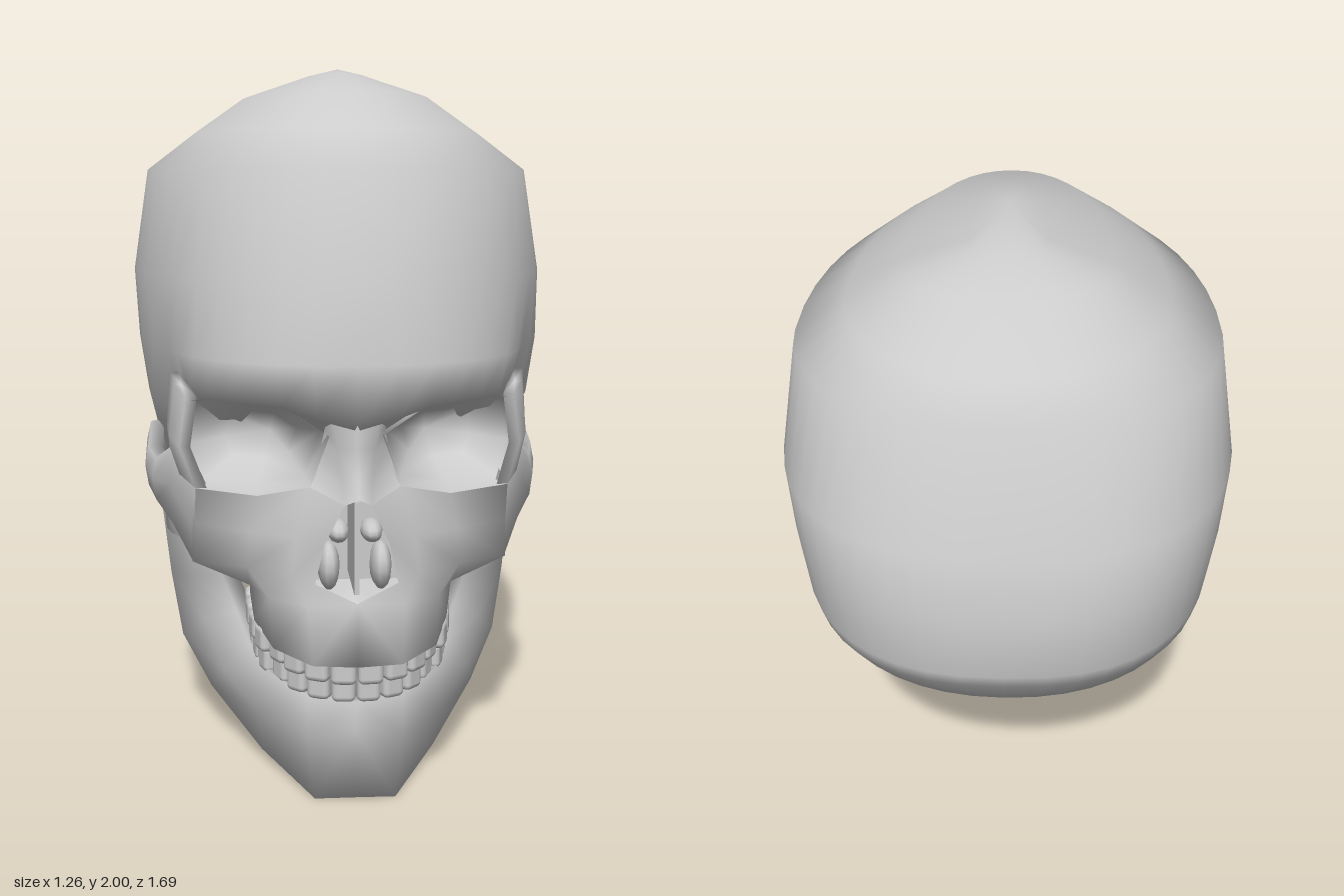
import * as THREE from 'three';
import { mergeGeometries, mergeVertices } from 'three/addons/utils/BufferGeometryUtils.js';
import { RoundedBoxGeometry } from 'three/addons/geometries/RoundedBoxGeometry.js';

const bone = new THREE.MeshStandardMaterial({ color: 0xcccccc, side: THREE.DoubleSide });

// Surface through rows of points; 'closed' joins the last column to the first
function surface(rows, closed = false) {
  const n = rows[0].length, index = [];
  for (let r = 0; r < rows.length - 1; r++) {
    for (let c = 0; c < (closed ? n : n - 1); c++) {
      const a = r * n + c, b = r * n + (c + 1) % n;
      index.push(a, b, a + n, b, b + n, a + n);
    }
  }
  const g = new THREE.BufferGeometry();
  g.setAttribute('position', new THREE.Float32BufferAttribute(rows.flat(2), 3));
  g.setIndex(index);
  return smooth(g);
}

function smooth(g) {
  g.deleteAttribute('normal');
  const m = mergeVertices(g, 1e-4);
  m.computeVertexNormals();
  return m;
}

// Adds the mirror image in x and welds the seam
function mirrored(g) {
  const m = g.clone().scale(-1, 1, 1);
  const i = m.index.array;
  for (let k = 0; k < i.length; k += 3) [i[k], i[k + 1]] = [i[k + 1], i[k]];
  return smooth(mergeGeometries([g, m]));
}

// Bony plate: stations of [lower edge, upper edge], thickened inward along each direction
function plate(stations, thickness, dirs) {
  const rows = stations.map(([a, b], k) => {
    const [dx, dz] = dirs[Math.min(k, dirs.length - 1)];
    const inner = (p) => [p[0] - dx * thickness, p[1], p[2] - dz * thickness];
    const mid = a.map((v, j) => (v + b[j]) / 2);
    mid[0] += dx * 0.01;
    mid[2] += dz * 0.01;
    return [a, mid, b, inner(b), inner(a)];
  });
  const cap = (row) => row.map(() => [0, 1, 2].map((j) => row.reduce((s, p) => s + p[j], 0) / row.length));
  return surface([cap(rows[0]), ...rows, cap(rows[rows.length - 1])], true);
}

// Underside of the braincase: raised over the eyes and throat, lowest behind the ears
function skullFloor(x, z) {
  const browDip = 0.08 * Math.exp(-((x / 0.11) ** 2));
  const knots = [[-0.16, 0.6], [0, 0.82], [0.3, 0.86], [0.43, 1.09 - browDip], [1, 1.09 - browDip]];
  if (z <= knots[0][0]) return 0;
  const k = knots.findIndex((p) => z <= p[0]);
  const [z0, y0] = knots[k - 1], [z1, y1] = knots[k];
  return y0 + (y1 - y0) * (z - z0) / (z1 - z0);
}

function braincase() {
  // height, half width, front z, back z
  const rings = [
    [2.0, 0, 0, 0], [1.98, 0.1, 0.14, -0.27], [1.915, 0.29, 0.4, -0.41], [1.81, 0.44, 0.55, -0.61],
    [1.70, 0.585, 0.67, -0.665], [1.4, 0.63, 0.745, -0.81], [1.2, 0.615, 0.8, -0.825],
    [1.03, 0.59, 0.79, -0.84], [0.94, 0.575, 0.45, -0.78], [0.82, 0.55, 0.3, -0.7],
    [0.69, 0.46, 0.1, -0.5], [0.635, 0.38, 0, -0.32], [0.6, 0.28, -0.1, -0.2], [0.6, 0, -0.16, -0.16],
  ];
  const cols = 44;
  const power = (v, e) => Math.sign(v) * Math.abs(v) ** e;
  return surface(rings.map(([h, w, zf, zb]) => Array.from({ length: cols }, (_, c) => {
    const a = c / cols * Math.PI * 2, co = Math.cos(a);
    const zc = Math.min(Math.max(-0.18, zb), zf);
    const n = co > 0 ? (h < 1.3 ? 2.3 : 2.1) : (h > 0.9 && h < 1.5 ? 2.45 : 2.15);
    const z = zc + power(co, 2 / n) * (co > 0 ? zf - zc : zc - zb);
    const x = w * power(Math.sin(a), 2 / n);
    const y = Math.max(h, skullFloor(x, z));
    // hollow temples
    const pinch = 0.09 * Math.exp(-(((z - 0.38) / 0.13) ** 2) - ((y - 1.02) / 0.24) ** 2);
    return [x * (1 - pinch), y, z];
  })), true);
}

function upperJaw() {
  // palate, inner gum, outer gum, then up the face to the lower eye rim
  return mirrored(surface([
    [[0, .54, .7], [0, .55, .68], [0, .55, .62], [0, .56, .52], [0, .56, .42], [0, .56, .36]],
    [[0, .43, .74], [.09, .43, .73], [.16, .44, .66], [.2, .47, .54], [.21, .5, .42], [.2, .51, .36]],
    [[0, .41, .84], [.12, .41, .82], [.22, .43, .73], [.27, .46, .57], [.28, .5, .44], [.26, .51, .36]],
    [[0, .57, .8], [.13, .56, .78], [.23, .56, .7], [.28, .56, .57], [.28, .57, .44], [.25, .59, .37]],
    [[.11, .62, .78], [.17, .63, .75], [.29, .64, .67], [.44, .62, .53], [.34, .67, .45], [.25, .68, .41]],
    [[.085, .73, .785], [.16, .74, .755], [.28, .74, .69], [.43, .74, .58], [.4, .78, .46], [.26, .78, .4]],
    [[.035, .84, .82], [.12, .87, .73], [.26, .84, .69], [.425, .85, .63], [.42, .87, .48], [.28, .87, .38]],
  ]));
}

function eyeSockets() {
  const rim = [[.07, 1.01, .75], [.2, 1.09, .72], [.34, 1.1, .66], [.45, 1.08, .57],
    [.47, .95, .55], [.425, .85, .63], [.26, .84, .69], [.12, .87, .73]];
  const back = [0.22, 0.97, 0.42];
  const depth = [0, 0.35, 0.75, 1], size = [1, 0.88, 0.5, 0];
  return mirrored(surface(depth.map((d, k) => rim.map(([x, y, z]) => [
    back[0] + (x - back[0]) * size[k], back[1] + (y - back[1]) * size[k], z + (back[2] - z) * d,
  ])), true));
}

function noseBridge() {
  return mirrored(surface([
    [[0, 1.06, .79], [.06, 1.05, .77], [.08, 1.03, .72]],
    [[0, .98, .795], [.05, .98, .76], [.09, .97, .69]],
    [[0, .91, .82], [.04, .9, .79], [.1, .91, .71]],
    [[0, .86, .85], [.035, .84, .82], [.12, .87, .73]],
  ]));
}

function teeth(name, halfWidth, front, gumY) {
  const group = new THREE.Group();
  group.name = name;
  const points = [];
  for (let k = -12; k <= 12; k++) {
    const a = k / 12 * Math.PI / 2;
    points.push(new THREE.Vector3(
      halfWidth * Math.sign(a) * Math.abs(Math.sin(a)) ** 0.85, 0, 0.36 + (front - 0.36) * Math.cos(a) ** 0.85));
  }
  const arch = new THREE.CatmullRomCurve3(points);
  const count = 16, width = arch.getLength() / count;
  for (let k = 0; k < count; k++) {
    const u = (k + 0.5) / count, p = arch.getPointAt(u), t = arch.getTangentAt(u);
    const molar = Math.abs(u - 0.5) > 0.25;
    const tooth = new THREE.Mesh(new RoundedBoxGeometry(width * 0.97, 0.072, molar ? 0.08 : 0.05, 2, 0.016), bone);
    tooth.name = 'tooth';
    tooth.position.set(p.x, gumY + (front - p.z) * 0.2, p.z);
    tooth.rotation.y = Math.atan2(-t.z, t.x);
    group.add(tooth);
  }
  return group;
}

export function createModel() {
  const skull = new THREE.Group();
  skull.name = 'skull';
  const add = (name, geometry, x = 0, y = 0, z = 0) => {
    const mesh = new THREE.Mesh(geometry, bone);
    mesh.name = name;
    mesh.position.set(x, y, z);
    skull.add(mesh);
    return mesh;
  };

  add('braincase', braincase());
  add('upperJaw', upperJaw());
  add('eyeSockets', eyeSockets());
  add('noseBridge', noseBridge());

  // Wall from the back of the palate up to the skull base
  add('throatWall', mirrored(surface([
    [[0, .56, .36], [.2, .54, .36], [.25, .59, .37]], [[0, .68, .36], [.2, .68, .37], [.25, .68, .41]],
    [[0, .8, .28], [.2, .8, .3], [.28, .87, .38]], [[0, .88, .14], [.24, .88, .14], [.4, .9, .2]],
  ])));

  // Cheekbones running back into the arches, and the struts beside the eyes
  add('cheekArches', mirrored(plate([
    [[.44, .62, .52], [.425, .85, .63]], [[.5, .7, .4], [.49, .94, .47]],
    [[.55, .75, .32], [.55, .87, .3]], [[.58, .765, .18], [.58, .88, .17]],
    [[.585, .82, .01], [.58, .93, .02]], [[.545, .86, -.2], [.555, .9, -.2]],
  ], 0.04, [[.8, .5], [.9, .3], [1, 0]])));
  add('eyeStruts', mirrored(plate([
    [[.425, .85, .63], [.5, .88, .4]], [[.47, .95, .56], [.51, .99, .43]], [[.45, 1.09, .57], [.5, 1.14, .43]],
  ], 0.03, [[1, 0]])));

  // Nose interior
  add('nasalSeptum', new THREE.BoxGeometry(0.014, 0.25, 0.25), 0, 0.715, 0.66);
  add('nasalBackWall', new THREE.BoxGeometry(0.3, 0.36, 0.02), 0, 0.74, 0.52);
  for (const s of [-1, 1]) {
    add('lowerTurbinate', new THREE.SphereGeometry(1, 10, 8), s * 0.07, 0.65, 0.7)
      .scale.set(0.03, 0.065, 0.08);
    add('upperTurbinate', new THREE.SphereGeometry(1, 10, 8), s * 0.045, 0.745, 0.7)
      .scale.set(0.03, 0.03, 0.07);
  }

  // Lower jaw from chin to ramus, then its two upper prongs
  const top = [[.525, .66, .005], [.46, .65, .15], [.4, .67, .27]];
  add('lowerJaw', mirrored(surface([
    [[0, .01, .75], [.11, .005, .74], [.25, .035, .46], [.4, .14, .21], [.49, .26, .07], [.525, .45, .03], [.55, .65, 0], top[0]],
    [[0, .2, .75], [.13, .18, .74], [.26, .19, .58], [.36, .25, .38], [.42, .35, .22], [.45, .48, .19], [.49, .64, .15], top[1]],
    [[0, .29, .77], [.13, .3, .74], [.23, .33, .64], [.28, .36, .5], [.32, .42, .35], [.36, .52, .33], [.42, .66, .28], top[2]],
    [[0, .29, .7], [.1, .3, .68], [.17, .33, .6], [.22, .36, .48], [.27, .42, .32], [.32, .52, .29], [.38, .66, .25], top[2]],
    [[0, .03, .66], [.09, .03, .64], [.19, .05, .42], [.34, .16, .2], [.44, .27, .07], [.475, .45, .04], [.5, .65, .01], top[0]],
    [[0, .01, .75], [.11, .005, .74], [.25, .035, .46], [.4, .14, .21], [.49, .26, .07], [.525, .45, .03], [.55, .65, 0], top[0]],
  ])));
  add('jawHinges', mirrored(plate([
    [[.54, .59, .008], [.48, .59, .16]], [[.55, .7, 0], [.52, .72, .11]], [[.555, .82, -.005], [.55, .82, .07]],
  ], 0.05, [[1, 0.2]])));
  add('jawProngs', mirrored(plate([
    [[.465, .6, .17], [.4, .6, .3]], [[.45, .68, .225], [.425, .68, .29]], [[.45, .77, .25], [.44, .77, .28]],
  ], 0.04, [[0.9, 0.4]])));

  skull.add(teeth('upperTeeth', 0.255, 0.79, 0.385));
  skull.add(teeth('lowerTeeth', 0.245, 0.755, 0.325));
  return skull;
}
